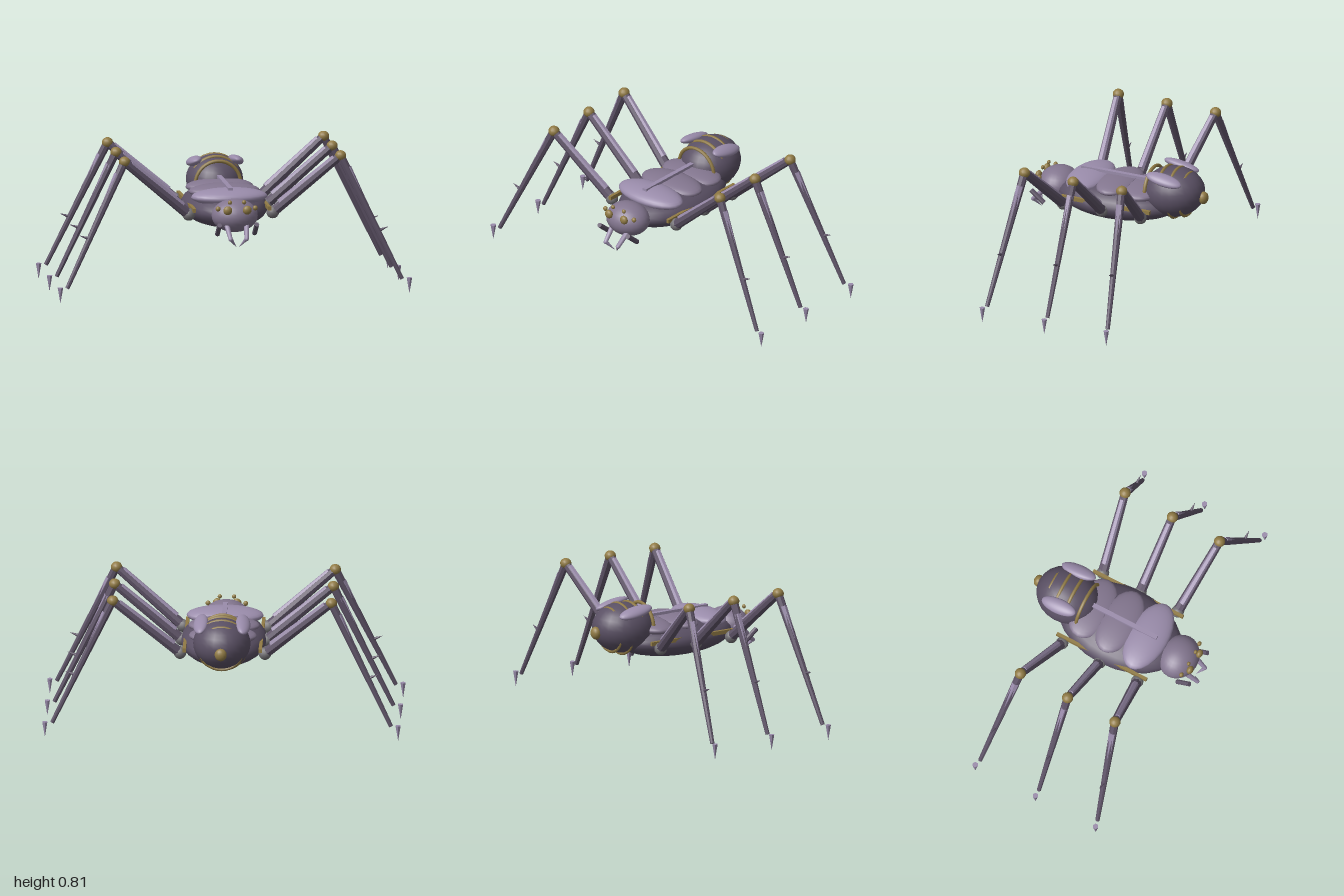
import * as THREE from 'three';

const V = (x, y, z) => new THREE.Vector3(x, y, z);
const paint = (color, flatShading = false) => new THREE.MeshStandardMaterial({ color, flatShading });

export function createModel() {
  const model = new THREE.Group();
  model.name = 'insect';
  const dark = paint(0x5a5064), darkFlat = paint(0x5f5468, true), mid = paint(0x83768f);
  const light = paint(0x9a8cab), lightFlat = paint(0x9a8cab, true);
  const gold = paint(0x917b45), grey = paint(0x747276);

  function add(name, geometry, material, parent = model) {
    const mesh = new THREE.Mesh(geometry, material);
    mesh.name = name;
    parent.add(mesh);
    return mesh;
  }

  // Ellipsoid from centre and radii
  function ball(name, c, r, material, parent, seg = 24) {
    const mesh = add(name, new THREE.SphereGeometry(1, seg, Math.round(seg * 0.67)), material, parent);
    mesh.position.set(...c);
    mesh.scale.set(...r);
    return mesh;
  }

  // Tapered rod between two points
  function rod(name, a, b, ra, rb, material, parent, seg = 8) {
    const dir = b.clone().sub(a);
    const mesh = add(name, new THREE.CylinderGeometry(rb, ra, dir.length(), seg), material, parent);
    mesh.position.copy(a).lerp(b, 0.5);
    mesh.quaternion.setFromUnitVectors(V(0, 1, 0), dir.normalize());
    return mesh;
  }

  // Thorax with overlapping back plates and a spine rail
  ball('thorax', [0, 0.46, 0.01], [0.24, 0.11, 0.37], dark);
  ball('frontBackPlate', [0, 0.54, 0.19], [0.215, 0.048, 0.115], light);
  ball('middleBackPlate', [0, 0.54, 0.01], [0.2, 0.042, 0.115], mid);
  ball('rearBackPlate', [0, 0.535, -0.16], [0.19, 0.042, 0.12], mid);
  const rail = add('spineRail', new THREE.BoxGeometry(0.026, 0.016, 0.41), light);
  rail.position.set(0, 0.588, 0.04);

  // Abdomen, its bands and tip
  const abdomen = ball('abdomen', [0, 0.543, -0.322], [0.16, 0.142, 0.18], dark);
  abdomen.rotation.x = 0.1;
  [[-0.2, 0.128], [-0.275, 0.14], [-0.345, 0.142], [-0.41, 0.122]].forEach(([z, r]) => {
    const band = add('abdomenBand', new THREE.TorusGeometry(r, 0.01, 6, 32), gold);
    band.position.set(0, 0.54, z);
  });
  ball('abdomenTip', [0, 0.535, -0.505], [0.034, 0.036, 0.027], gold, model, 16);

  // Head
  ball('head', [0, 0.468, 0.385], [0.13, 0.093, 0.112], mid);

  for (const s of [1, -1]) {
    // Side trim and wing pads
    const trim = add('sideTrim', new THREE.BoxGeometry(0.018, 0.022, 0.57), gold);
    trim.position.set(s * 0.212, 0.483, 0.01);
    const pad = ball('wingPad', [s * 0.118, 0.652, -0.315], [0.043, 0.026, 0.108], light);
    pad.rotation.set(-0.17, 0, s * -0.35);

    // Eyes
    ball('largeEye', [s * 0.055, 0.514, 0.485], [0.025, 0.025, 0.018], gold, model, 14);
    ball('sideEye', [s * 0.105, 0.52, 0.457], [0.014, 0.014, 0.012], gold, model, 12);
    ball('upperEye', [s * 0.04, 0.556, 0.468], [0.012, 0.012, 0.01], gold, model, 12);

    // Mouthparts
    rod('palp', V(s * 0.105, 0.372, 0.43), V(s * 0.105, 0.436, 0.508), 0.014, 0.014, darkFlat);
    rod('fangBase', V(s * 0.055, 0.425, 0.455), V(s * 0.045, 0.357, 0.525), 0.016, 0.012, light);
    ball('fangJoint', [s * 0.045, 0.357, 0.525], [0.012, 0.012, 0.012], light, model, 12);
    rod('fangTip', V(s * 0.045, 0.36, 0.525), V(s * 0.008, 0.308, 0.49), 0.012, 0.001, light);

    // Legs: front, middle and rear
    for (const k of [1, 0, -1]) {
      const leg = new THREE.Group();
      leg.name = ['rearLeg', 'middleLeg', 'frontLeg'][k + 1];
      model.add(leg);
      const z0 = 0.01;
      const hip = V(s * 0.237, 0.455, z0 + k * 0.238);
      const knee = V(s * 0.61, 0.775, z0 + k * 0.3);
      const ankle = V(s * 0.945, 0.08, z0 + k * 0.372);
      const up = V(s * -0.65, 0.76, 0);
      const out = V(s * 0.9, 0.43, 0);
      const along = (a, b, t, offset, d) => a.clone().lerp(b, t).addScaledVector(offset, d);

      ball('hip', hip.toArray(), [0.036, 0.036, 0.036], grey, leg, 12);
      rod('thigh', hip, knee, 0.03, 0.024, darkFlat, leg);
      rod('thighPlate', along(hip, knee, 0.13, up, 0.018), along(hip, knee, 0.93, up, 0.014),
        0.02, 0.017, lightFlat, leg, 6);
      ball('knee', knee.toArray(), [0.032, 0.03, 0.032], gold, leg, 14);
      rod('shin', knee, ankle, 0.024, 0.012, darkFlat, leg);
      rod('shinPlate', along(knee, ankle, 0.1, out, 0.006), along(knee, ankle, 0.5, out, 0.002),
        0.021, 0.012, lightFlat, leg, 6);

      // Shin spur and claw
      const spur = knee.clone().lerp(ankle, 0.61);
      rod('spur', spur, spur.clone().add(V(s * 0.058, 0.022, 0)), 0.012, 0.0005, darkFlat, leg, 6);
      rod('claw', V(s * 0.985, 0.087, z0 + k * 0.382), V(s * 0.985, 0, z0 + k * 0.382),
        0.0165, 0.0005, lightFlat, leg, 6);
    }
  }
  return model;
}
